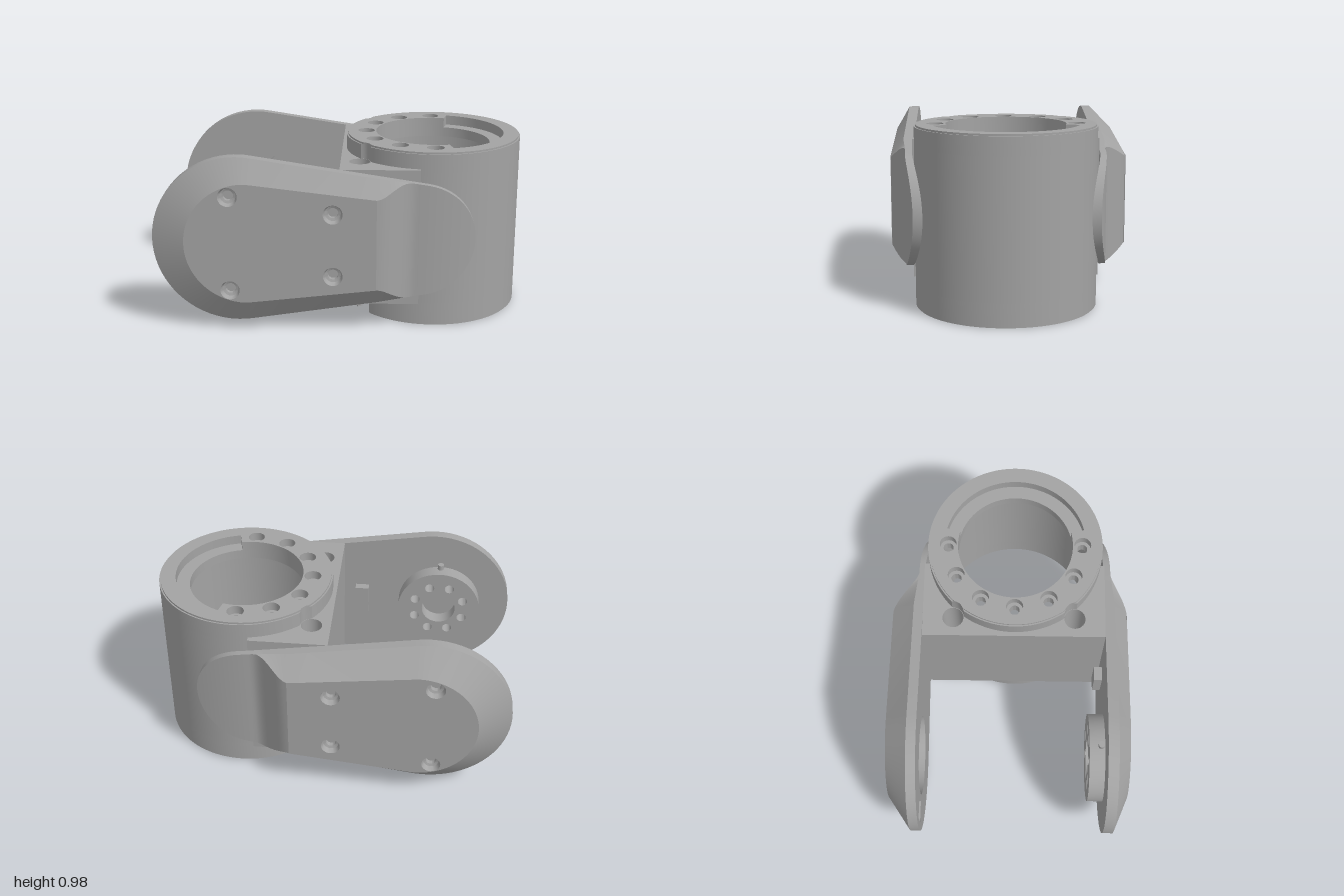
import * as THREE from 'three';
import { toCreasedNormals } from 'three/addons/utils/BufferGeometryUtils.js';

const CX = 0.51, CZ = 0.023, MID = 0.51, HUB_X = -0.58;
const { lerp, clamp, smoothstep } = THREE.MathUtils;
const V = (x, y) => new THREE.Vector2(x, y);
const metal = new THREE.MeshStandardMaterial({ color: 0xa3a3a3, side: THREE.DoubleSide });
metal.name = 'grey metal';

function add(group, name, geo, x = 0, y = 0, z = 0) {
  const mesh = new THREE.Mesh(geo, metal);
  mesh.name = name;
  mesh.position.set(x, y, z);
  group.add(mesh);
  return mesh;
}
const circle = (x, y, r, n = 28) => new THREE.Path(Array.from({ length: n }, (_, i) =>
  V(x + r * Math.cos(i / n * 2 * Math.PI), y + r * Math.sin(i / n * 2 * Math.PI))));
const rect = (x0, y0, x1, y1) => [V(x0, y0), V(x1, y0), V(x1, y1), V(x0, y1)];
const lathe = (pts, n = 28) => toCreasedNormals(new THREE.LatheGeometry(pts.map(p => V(...p)), n), 0.5);
const extrude = (shape, depth) => toCreasedNormals(
  new THREE.ExtrudeGeometry(shape, { depth, bevelEnabled: false, curveSegments: 32 }), 0.5);
// Plan shape (x, z) raised from y0 to y1
const prism = (shape, y0, y1) => extrude(shape, y1 - y0).rotateX(Math.PI / 2).translate(0, y1, 0);
// Arc of plan points about the barrel axis; r may be a function of angle in degrees
const arc = (r, a0, a1, n = 120) => Array.from({ length: n + 1 }, (_, i) => {
  const d = lerp(a0, a1, i / n), a = d * Math.PI / 180, q = typeof r === 'function' ? r(d) : r;
  return V(CX + q * Math.cos(a), CZ + q * Math.sin(a));
});

// Vertical bores beside the barrel, which also groove its wall
const BORES = [[0.105, -0.317], [0.105, 0.357]];
const BORE_R = 0.06;
const grooved = R => deg => {
  const a = deg * Math.PI / 180;
  let r = R;
  for (const [x, z] of BORES) {
    const dx = x - CX, dz = z - CZ;
    const along = dx * Math.cos(a) + dz * Math.sin(a);
    const off2 = dx * dx + dz * dz - along * along;
    if (along > 0 && off2 < BORE_R ** 2) r = Math.min(r, along - Math.sqrt(BORE_R ** 2 - off2));
  }
  return r;
};

function buildBarrel(root) {
  const barrel = new THREE.Group();
  barrel.name = 'barrel';
  root.add(barrel);

  // Wall with an open bore
  const wall = new THREE.Shape(arc(grooved(0.487), 0, 358.8, 239));
  wall.holes.push(new THREE.Path(arc(0.44, 0, 357, 119)));
  add(barrel, 'wall', prism(wall, 0.13, 0.87));

  // Thin lower skirt, split by two slots
  for (const [a0, a1] of [[-136, 136], [150, 210]]) {
    const skirt = new THREE.Shape([...arc(0.487, a0, a1), ...arc(0.45, a1, a0)]);
    add(barrel, 'lowerSkirt', prism(skirt, 0.008, 0.13));
    const lip = new THREE.Shape([...arc(0.479, a0, a1), ...arc(0.45, a1, a0)]);
    add(barrel, 'skirtLip', prism(lip, 0, 0.008));
  }

  // Top flange: wide where it is drilled, narrow over the recess
  const edge = 76;
  const opening = () => new THREE.Path([...arc(0.395, -edge, edge, 60), ...arc(0.32, edge, 360 - edge, 90)]);
  const screws = [90, 120, 150, 180, 210, 240, 270].map(d => arc(0.375, d, d, 1)[0]);
  for (const [r, y0, y1] of [[0.487, 0.87, 0.97], [0.479, 0.97, 0.98]]) {
    const flange = new THREE.Shape(arc(grooved(r), 0, 358.8, 239));
    flange.holes.push(opening(), ...screws.map(p => circle(p.x, p.y, 0.047)));
    add(barrel, 'topFlange', prism(flange, y0, y1));
  }
  for (const p of screws) {
    add(barrel, 'flangeScrewSeat', lathe([[0.047, 0.93], [0.028, 0.93], [0.028, 0.87], [0.047, 0.87]]), p.x, 0, p.y);
  }
  const ledge = new THREE.Shape([...arc(0.396, -edge, edge, 60), ...arc(0.32, edge, -edge, 60)]);
  add(barrel, 'recessLedge', prism(ledge, 0.87, 0.925));

  // Block joining the barrel to both arms
  const block = new THREE.Shape([V(0, -0.485), V(0.43, -0.485), ...arc(0.46, 260, 100), V(0.43, 0.525), V(0, 0.525)]);
  block.holes.push(...BORES.map(([x, z]) => circle(x, z, BORE_R - 0.002)));
  add(barrel, 'joiningBlock', prism(block, 0.13, 0.888));
}

// Half height of the arm outline, and of its raised face
function halfHeight(x) {
  if (x < -0.47) return Math.sqrt(Math.max(0, 0.457 ** 2 - (x + 0.543) ** 2));
  if (x > 0.467) return Math.sqrt(Math.max(0, 0.31 ** 2 - (x - 0.42) ** 2));
  return lerp(0.451, 0.3065, (x + 0.47) / 0.937);
}
function faceHalf(x) {
  if (x < -0.49) return Math.sqrt(Math.max(0, 0.33 ** 2 - (x + 0.49) ** 2));
  if (x <= 0.2) return lerp(0.33, 0.25, (x + 0.49) / 0.69);
  return lerp(0.25, halfHeight(x), smoothstep(x, 0.2, 0.38));
}

// One arm, with its outside facing +z
function buildArm(name, { inner, rim, top, tipIn, tipOut }, innerHoles) {
  const arm = new THREE.Group();
  arm.name = name;
  const FLAT = 0.2;
  const tip = x => clamp((x - 0.42) / 0.31, 0, 1) ** 2;
  const zIn = x => lerp(inner, tipIn, tip(x));
  const zRim = x => lerp(lerp(rim, rim - 0.02, clamp((x - 0.2) / 0.2, 0, 1)), tipOut, tip(x));
  const zTop = x => lerp(top, zRim(x), smoothstep(x, 0.18, 0.4));

  const xs = [];
  for (let i = 0; i <= 20; i++) xs.push(-1 + 0.54 * (1 - Math.cos(i / 20 * Math.PI / 2)));
  xs.push(-0.3, -0.1, 0.1, FLAT);
  for (let i = 1; i <= 10; i++) xs.push(FLAT + 0.022 * i);
  for (let i = 1; i <= 16; i++) xs.push(0.42 + 0.31 * Math.sin(i / 16 * Math.PI / 2));

  // Cross-sections: inner edge, rim edge and raised face, below then above
  const rings = xs.map(x => {
    const xi = x < -0.49 ? -0.82 + (x + 1) * 0.33 / 0.51 : x;
    const w = halfHeight(x), f = faceHalf(xi);
    const side = s => [[x, MID + s * w, zIn(x)], [x, MID + s * w, zRim(x)], [xi, MID + s * f, zTop(xi)]];
    return [...side(-1), ...side(1).reverse()];
  });
  const pos = [];
  for (let i = 0; i < rings.length - 1; i++) {
    const a = rings[i], b = rings[i + 1];
    for (let k = 0; k < 6; k++) {
      const flat = xs[i + 1] <= FLAT + 1e-6;
      if (flat && (k === 2 || k === 5)) continue;
      const n = (k + 1) % 6;
      if (k !== 2 && k !== 5 && Math.hypot(...a[k].map((v, j) => v - a[n][j])) +
        Math.hypot(...b[k].map((v, j) => v - b[n][j])) < 1e-6) continue;
      pos.push(...a[k], ...b[k], ...b[n], ...a[k], ...b[n], ...a[n]);
    }
  }
  const shell = new THREE.BufferGeometry();
  shell.setAttribute('position', new THREE.Float32BufferAttribute(pos, 3));
  add(arm, 'armShell', toCreasedNormals(shell, 0.35));

  // Flat faces with cut-outs
  const flatRings = rings.filter((_, i) => xs[i] <= FLAT + 1e-6);
  const outline = (lo, hi) => new THREE.Shape([
    ...flatRings.map(r => V(r[lo][0], r[lo][1])),
    ...flatRings.slice(1).reverse().map(r => V(r[hi][0], r[hi][1]))]);
  const screws = [[-0.58, 0.77], [-0.58, 0.25], [-0.03, 0.68], [-0.03, 0.335]];
  const face = outline(2, 3);
  face.holes.push(...screws.map(([x, y]) => circle(x, y, 0.052)));
  add(arm, 'outerFace', new THREE.ShapeGeometry(face), 0, 0, top);
  const back = outline(0, 5);
  back.holes.push(...innerHoles);
  const backGeo = new THREE.ShapeGeometry(back);
  backGeo.scale(1, 1, -1);
  const idx = backGeo.index.array;
  for (let i = 0; i < idx.length; i += 3) [idx[i], idx[i + 1]] = [idx[i + 1], idx[i]];
  backGeo.computeVertexNormals();
  add(arm, 'innerFace', backGeo, 0, 0, inner);

  // Stepped screw holes
  for (const [x, y] of screws) {
    const seat = lathe([[0, -0.06], [0.028, -0.06], [0.028, -0.035], [0.042, -0.03], [0.052, 0]]);
    add(arm, 'screwHole', seat.rotateX(Math.PI / 2), x, y, top);
  }
  return arm;
}

function buildFrontArm(root) {
  const arm = buildArm('frontArm', { inner: 0.525, rim: 0.583, top: 0.657, tipIn: 0.462, tipOut: 0.512 }, []);
  root.add(arm);
  // Bearing hub with a ring of screw holes
  const hub = new THREE.Shape(circle(HUB_X, MID, 0.245, 64).getPoints());
  hub.holes.push(circle(HUB_X, MID, 0.1, 40));
  for (let i = 0; i < 8; i++) {
    const a = (i + 0.5) / 8 * 2 * Math.PI;
    hub.holes.push(circle(HUB_X + 0.155 * Math.cos(a), MID + 0.155 * Math.sin(a), 0.028, 20));
  }
  add(arm, 'hub', extrude(hub, 0.085), 0, 0, 0.44);
  add(arm, 'hubPin', new THREE.CylinderGeometry(0.018, 0.018, 0.05, 16), HUB_X, MID + 0.25, 0.505);
  add(arm, 'cableClip', new THREE.BoxGeometry(0.08, 0.18, 0.046), -0.11, MID, 0.503);
}

function buildRearArm(root) {
  const inner = 0.487;
  const slot = [-0.95, MID - 0.06, -0.83, MID + 0.06];
  const arm = buildArm('rearArm', { inner, rim: 0.54, top: 0.663, tipIn: 0.418, tipOut: 0.466 },
    [circle(HUB_X, MID, 0.22, 48), new THREE.Path(rect(...slot))]);
  arm.scale.z = -1;
  root.add(arm);
  // Round pocket with a spoked ring
  const pocket = lathe([[0.22, 0], [0.22, 0.09], [0, 0.09]], 48).rotateX(Math.PI / 2);
  add(arm, 'roundPocket', pocket, HUB_X, MID, inner);
  const ring = new THREE.Shape(circle(0, 0, 0.13, 40).getPoints());
  ring.holes.push(circle(0, 0, 0.09, 40));
  add(arm, 'pocketRing', extrude(ring, 0.06), HUB_X, MID, inner + 0.03);
  for (let i = 0; i < 4; i++) {
    const a = (i + 0.5) * Math.PI / 2;
    const spoke = add(arm, 'pocketSpoke', new THREE.BoxGeometry(0.1, 0.04, 0.05),
      HUB_X + 0.172 * Math.cos(a), MID + 0.172 * Math.sin(a), inner + 0.06);
    spoke.rotation.z = a;
  }
  // Cable slot
  const walls = new THREE.Shape(rect(slot[0] - 0.004, slot[1] - 0.004, slot[2] + 0.004, slot[3] + 0.004));
  walls.holes.push(new THREE.Path(rect(...slot)));
  add(arm, 'slotWalls', extrude(walls, 0.05), 0, 0, inner + 0.001);
  add(arm, 'slotFloor', new THREE.BoxGeometry(0.128, 0.128, 0.004), -0.89, MID, inner + 0.05);
}

export function createModel() {
  const root = new THREE.Group();
  root.name = 'forkedJoint';
  buildBarrel(root);
  buildFrontArm(root);
  buildRearArm(root);
  return root;
}
